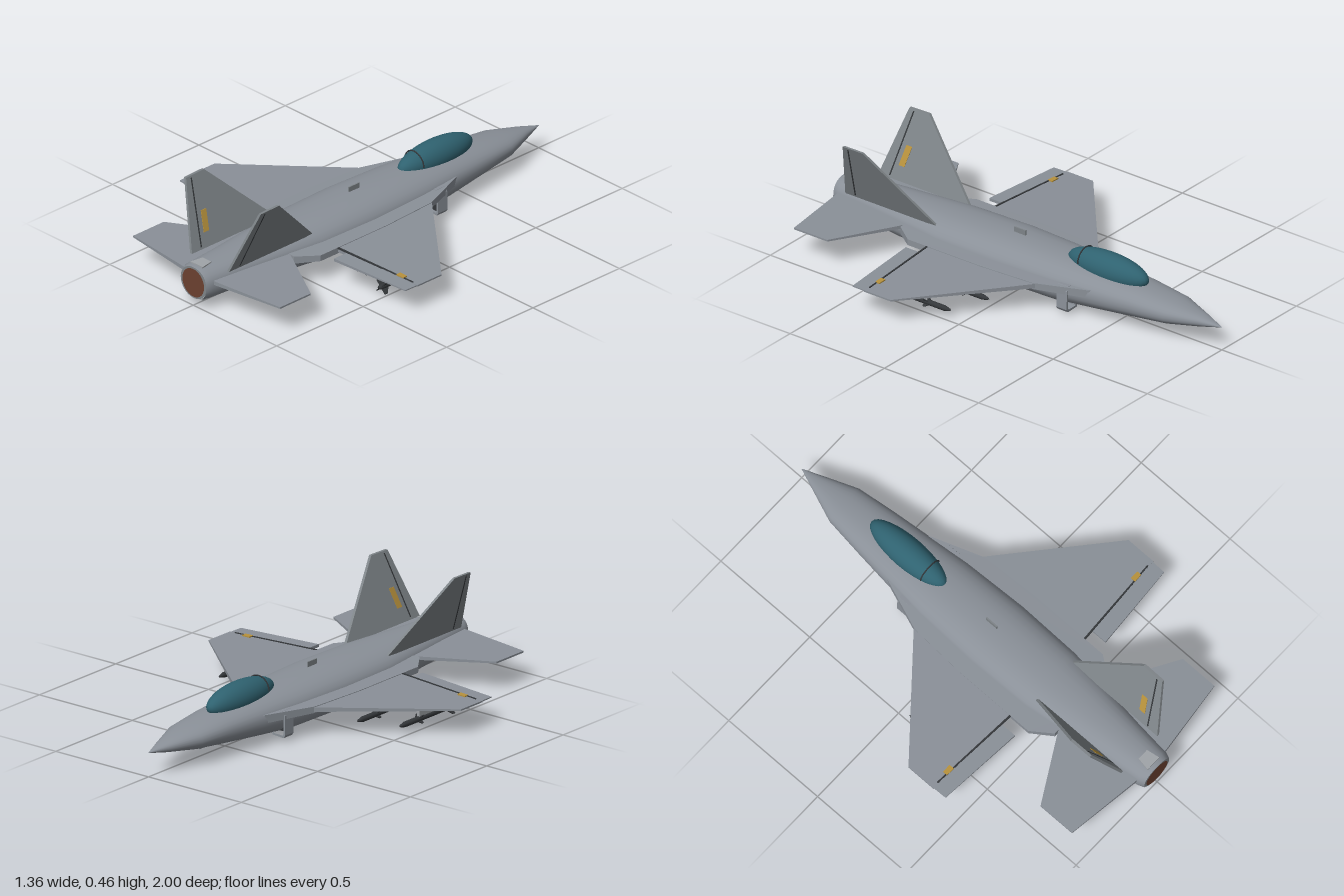
import * as THREE from 'three';

const mat = (name, color, side = THREE.FrontSide) => {
  const m = new THREE.MeshStandardMaterial({ color, side });
  m.name = name;
  return m;
};

export function createModel() {
  const grey = mat('hull grey', 0x8a9098);
  const finGrey = mat('fin grey', 0x7e8488);
  const pale = mat('pale grey', 0xa0a4a8);
  const dark = mat('dark grey', 0x34373a);
  const glass = mat('canopy teal', 0x2f6270);
  const rust = mat('nozzle brown', 0x6b4030, THREE.DoubleSide);
  const gold = mat('marking gold', 0xb8923c);

  const model = new THREE.Group();
  const add = (name, geo, material, parent = model) => {
    const mesh = new THREE.Mesh(geo, material);
    mesh.name = name;
    parent.add(mesh);
    return mesh;
  };
  const box = (w, h, d, x, y, z) => new THREE.BoxGeometry(w, h, d).translate(x, y, z);
  const outline = pts => new THREE.Shape(pts.map(p => new THREE.Vector2(...p)));
  const extrude = (shape, depth) =>
    new THREE.ExtrudeGeometry(shape, { depth, bevelEnabled: false, curveSegments: 6 });

  // Flat plate drawn in x,z; thickness and height may vary along the span
  const plate = (s, pts, yAt, thickAt) => {
    const g = extrude(outline(pts.map(([x, z]) => [s * x, z])), 1).rotateX(Math.PI / 2).translate(0, 0.5, 0);
    const p = g.attributes.position;
    for (let i = 0; i < p.count; i++) {
      const span = Math.abs(p.getX(i));
      p.setY(i, yAt(span) + p.getY(i) * thickAt(span));
    }
    g.computeVertexNormals();
    return g;
  };

  // Upright plate drawn in z,y and canted outwards as it rises
  const canted = (s, pts, thick, shift = 0) => {
    const g = extrude(outline(pts), thick).rotateY(-Math.PI / 2).translate(thick / 2, 0, 0);
    const p = g.attributes.position;
    for (let i = 0; i < p.count; i++) {
      p.setX(i, p.getX(i) + s * (0.115 + shift + (p.getY(i) - 0.18) * 0.393));
    }
    g.computeVertexNormals();
    return g;
  };

  // Fuselage: superellipse sections [z, half width, bottom, top]
  const sections = [
    [-1, 0.001, 0.109, 0.111], [-0.9, 0.04, 0.088, 0.136], [-0.76, 0.094, 0.066, 0.162],
    [-0.58, 0.116, 0.045, 0.18], [-0.4, 0.135, 0.025, 0.19], [-0.2, 0.156, 0.005, 0.2],
    [0.1, 0.168, 0.004, 0.205], [0.4, 0.162, 0.012, 0.2], [0.6, 0.135, 0.023, 0.195],
    [0.8, 0.108, 0.031, 0.19], [0.97, 0.09, 0.034, 0.187], [1, 0.078, 0.037, 0.183],
  ];
  const N = 28, pos = [], idx = [];
  const pow = v => Math.sign(v) * Math.abs(v) ** 0.88;
  sections.forEach(([z, w, b, t], r) => {
    for (let j = 0; j < N; j++) {
      const a = (j / N) * Math.PI * 2;
      pos.push(w * pow(Math.cos(a)), (b + t) / 2 + ((t - b) / 2) * pow(Math.sin(a)), z);
      if (r < sections.length - 1) {
        const p = r * N + j, q = r * N + ((j + 1) % N);
        idx.push(p, q, p + N, q, q + N, p + N);
      }
    }
  });
  const hull = new THREE.BufferGeometry();
  hull.setAttribute('position', new THREE.Float32BufferAttribute(pos, 3));
  hull.setIndex(idx);
  hull.computeVertexNormals();
  add('fuselage', hull, grey);

  // Engine exhaust
  add('exhaustRim', new THREE.CircleGeometry(1, N).scale(0.078, 0.073, 1).translate(0, 0.11, 0.997), finGrey);
  add('exhaustDisc', new THREE.CircleGeometry(0.065, N).translate(0, 0.11, 1), rust);
  const flap = [[-0.026, 0.92], [0.026, 0.92], [0.036, 0.98], [-0.036, 0.98]];
  add('upperExhaustPlate', plate(1, flap, () => 0.187, () => 0.006), pale);
  add('lowerExhaustPlate', plate(1, flap, () => 0.034, () => 0.006), pale);

  // Canopy and its rear hoop
  add('canopy', new THREE.SphereGeometry(1, 32, 20).scale(0.067, 0.07, 0.208).translate(0, 0.195, -0.4), glass);
  add('canopyHoop', new THREE.TorusGeometry(0.057, 0.003, 6, 24, Math.PI).translate(0, 0.198, -0.28), dark);

  // Blade antennas
  add('upperAntenna', box(0.006, 0.03, 0.06, 0, 0.212, 0.07), finGrey);
  add('lowerAntenna', box(0.006, 0.016, 0.1, 0, 0.044, -0.62), finGrey);

  for (const s of [1, -1]) {
    const side = new THREE.Group();
    side.name = s > 0 ? 'leftSide' : 'rightSide';
    model.add(side);

    // Shoulder running from intake to tail
    add('shoulder', plate(s, [[0.06, -0.45], [0.13, -0.4], [0.215, -0.17], [0.23, 0.1], [0.23, 0.485],
      [0.165, 0.575], [0.06, 0.575]], () => 0.122, x => 0.04 - 0.1 * Math.max(0, x - 0.1)), grey, side);

    // Intake lip: a hollow frame with a dark mouth
    const lip = outline([[0.1, 0.025], [0.16, 0.022], [0.169, 0.035], [0.167, 0.12], [0.155, 0.14], [0.1, 0.14]]
      .map(([x, y]) => [s * x, y]));
    lip.holes.push(new THREE.Path([[0.108, 0.034], [0.155, 0.032], [0.16, 0.04], [0.158, 0.117], [0.15, 0.13],
      [0.108, 0.13]].map(([x, y]) => new THREE.Vector2(s * x, y))));
    add('intakeLip', extrude(lip, 0.055).translate(0, 0, -0.31), grey, side);
    add('intakeMouth', box(0.05, 0.095, 0.006, s * 0.134, 0.082, -0.268), dark, side);

    // Main wing with hinge strip and flap
    const wingY = x => 0.126 - 0.012 * x;
    const wingT = x => Math.max(0.006, 0.026 - 0.028 * x);
    add('wing', plate(s, [[0.1, -0.27], [0.22, -0.17], [0.68, 0.22], [0.68, 0.36], [0.1, 0.39]],
      wingY, wingT), grey, side);
    add('wingFlap', plate(s, [[0.28, 0.38], [0.677, 0.36], [0.675, 0.425], [0.28, 0.455]],
      wingY, x => wingT(x) * 0.7), grey, side);
    add('hingeStrip', plate(s, [[0.23, 0.379], [0.65, 0.353], [0.65, 0.359], [0.23, 0.387]],
      x => wingY(x) + wingT(x) / 2, () => 0.006), dark, side);
    add('wingMarking', plate(s, [[0.56, 0.342], [0.6, 0.342], [0.6, 0.364], [0.56, 0.366]],
      x => wingY(x) + wingT(x) / 2 + 0.002, () => 0.006), gold, side);

    // Tailplane
    add('tailplane', plate(s, [[0.06, 0.53], [0.17, 0.59], [0.44, 0.745], [0.44, 0.922], [0.1, 0.965],
      [0.06, 0.965]], () => 0.13, x => 0.02 - 0.028 * x), grey, side);

    // Canted fin, rudder line and inner marking
    add('fin', canted(s, [[0.42, 0.17], [0.905, 0.17], [0.83, 0.458], [0.725, 0.46]], 0.012), finGrey, side);
    add('rudderLine', canted(s, [[0.845, 0.18], [0.851, 0.18], [0.807, 0.45], [0.801, 0.45]], 0.015), dark, side);
    add('finMarking', canted(s, [[0.785, 0.23], [0.815, 0.23], [0.8, 0.315], [0.77, 0.315]], 0.004, -0.006), gold, side);

    // Stores under the wing
    for (const [x, nose] of [[0.31, -0.012], [0.487, 0.05]]) {
      const missile = new THREE.Group();
      missile.name = 'missile';
      missile.position.set(s * x, 0.048, nose);
      side.add(missile);
      const body = [[0, 0], [0.006, 0.01], [0.012, 0.035], [0.012, 0.33], [0.008, 0.345], [0, 0.345]];
      add('missileBody', new THREE.LatheGeometry(body.map(([r, z]) => new THREE.Vector2(r, -z)).reverse(), 12)
        .rotateX(-Math.PI / 2), dark, missile);
      for (let k = 0; k < 4; k++) {
        const fins = [[0.29, 0], [0.335, 0], [0.335, 0.036], [0.32, 0.036]];
        const canards = [[0.1, 0], [0.14, 0], [0.14, 0.024], [0.13, 0.024]];
        for (const [name, pts] of [['missileFin', fins], ['missileCanard', canards]]) {
          add(name, extrude(outline(pts), 0.004).rotateY(-Math.PI / 2).translate(0.002, 0, 0)
            .rotateZ(Math.PI / 4 + k * Math.PI / 2), dark, missile);
        }
      }
      add('pylon', box(0.012, 0.062, 0.13, 0, 0.039, 0.19), pale, missile);
    }
  }
  return model;
}
